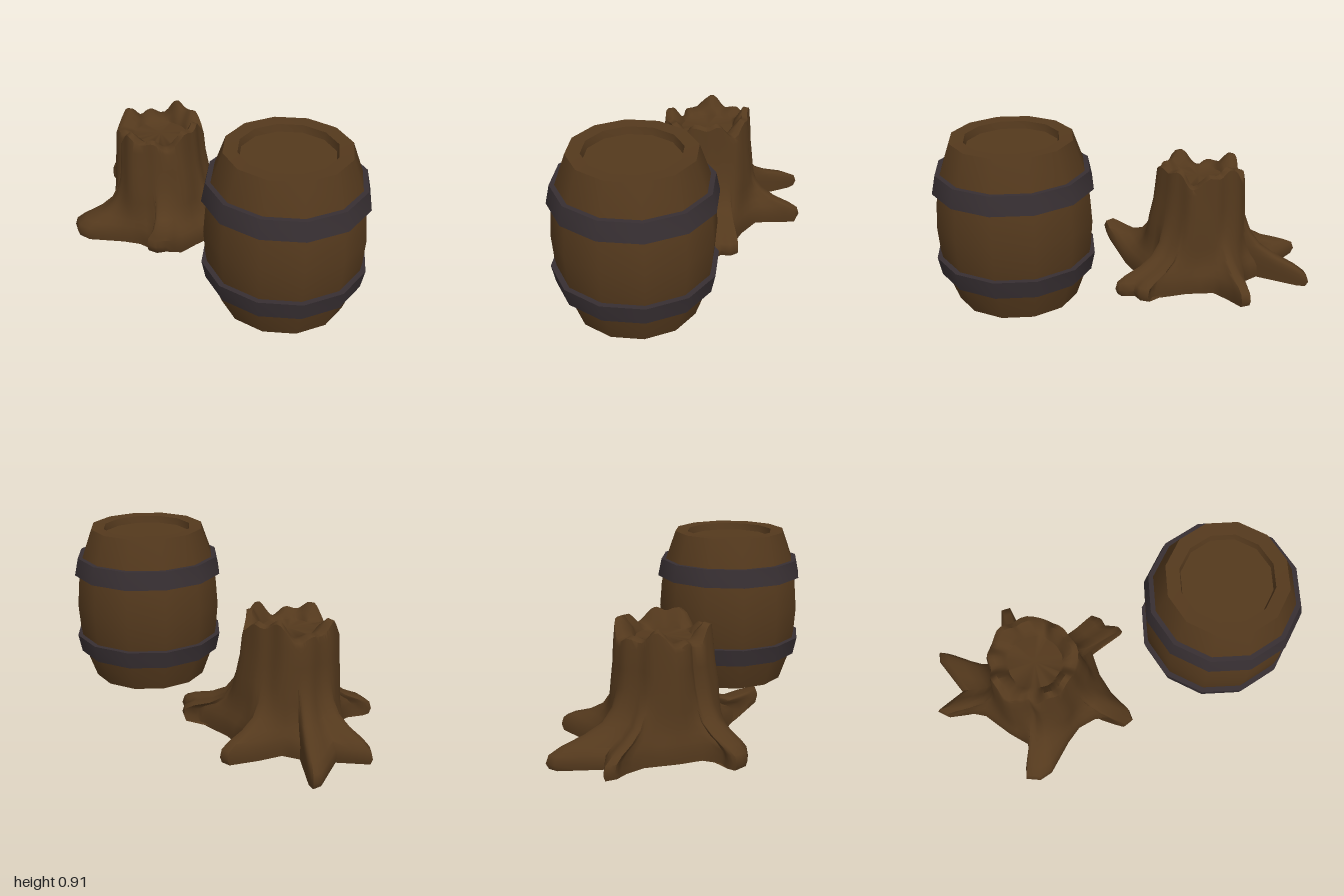
import * as THREE from 'three';
import { toCreasedNormals } from 'three/addons/utils/BufferGeometryUtils.js';

const wood = new THREE.MeshStandardMaterial({ color: 0x54391d });
wood.name = 'brown wood';
const iron = new THREE.MeshStandardMaterial({ color: 0x372f32 });
iron.name = 'dark iron';

function add(group, name, geometry, material) {
  const mesh = new THREE.Mesh(geometry, material);
  mesh.name = name;
  group.add(mesh);
  return mesh;
}

// Twelve-sided turned part; profile runs bottom to top as [radius, y]
function turned(profile, crease) {
  const g = new THREE.LatheGeometry(profile.map(([r, y]) => new THREE.Vector2(r, y)), 12);
  return toCreasedNormals(g, crease);
}

function makeBarrel() {
  const barrel = new THREE.Group();
  barrel.name = 'barrel';
  const mid = 0.493;
  // Upper half of the body, from the belly over the rim to the sunken lid
  const half = [[0.4, 0], [0.39, 0.13], [0.365, 0.27], [0.31, 0.425],
    [0.24, 0.422], [0.232, 0.385], [0, 0.385]];
  const lower = half.slice(1).reverse().map(([r, y]) => [r, mid - y]);
  const upper = half.map(([r, y]) => [r, mid + y]);
  add(barrel, 'barrelBody', turned([...lower, ...upper], 0.75), wood);
  // Iron hoops, wider toward the belly
  for (const s of [-1, 1]) {
    const hoop = [[0.36, 0.175], [0.41, 0.175], [0.39, 0.27], [0.35, 0.27]]
      .map(([r, y]) => [r, mid + s * y]);
    if (s < 0) hoop.reverse();
    add(barrel, s < 0 ? 'lowerHoop' : 'upperHoop', turned(hoop, 0.7), iron);
  }
  barrel.position.set(0.59, 0, 0.03);
  return barrel;
}

// Root outline seen from above: [x, z, lift off the ground]
const roots = [
  [-0.08, 0.05], [-0.05, 0.18, 0.02], [0, 0.32, 0.12], [0, 0.38, 0.14], [-0.05, 0.4, 0.14],
  [-0.09, 0.36, 0.1], [-0.11, 0.29, 0.03], [-0.18, 0.27], [-0.28, 0.29], [-0.36, 0.35], [-0.44, 0.43],
  [-0.5, 0.49], [-0.57, 0.51], [-0.64, 0.48], [-0.63, 0.44], [-0.58, 0.39], [-0.58, 0.29], [-0.66, 0.2],
  [-0.76, 0.06], [-0.87, 0], [-0.96, 0.01, 0.02], [-1, -0.03, 0.02], [-0.84, -0.1], [-0.92, -0.32, -0.01],
  [-0.91, -0.37, -0.01], [-0.87, -0.35, -0.01], [-0.69, -0.19], [-0.6, -0.22], [-0.55, -0.34],
  [-0.5, -0.5, 0.02], [-0.45, -0.5, 0.02], [-0.43, -0.37], [-0.39, -0.28], [-0.25, -0.24],
  [-0.1, -0.23], [-0.05, -0.24, 0.02], [-0.01, -0.3, 0.03], [0.03, -0.27, 0.03], [0.04, -0.22, 0.03],
  [0.11, -0.19, 0.03], [0.12, -0.16, 0.03], [0, -0.13, 0.02], [-0.08, -0.1],
];

function makeStump() {
  const cx = -0.42, cz = 0.03;
  // Add a midpoint between neighbouring outline points
  const outline = roots.flatMap((p, i) => {
    const q = roots[(i + 1) % roots.length];
    const lift = p[2] ?? 0;
    return [[p[0], p[1], lift], [(p[0] + q[0]) / 2, (p[1] + q[1]) / 2, (lift + (q[2] ?? 0)) / 2]];
  });
  const n = outline.length;
  const columns = outline.map(([x, z, lift], i) => {
    const even = (i / n) * Math.PI * 2;
    let a = Math.atan2(z - cz, x - cx);
    while (a < even - Math.PI) a += Math.PI * 2;
    a = (a + even) / 2;
    // Folds in the bark, with one deep cleft at the front
    const fold = 1 + 0.04 * Math.sin(5 * a + 1) + 0.02 * Math.sin(11 * a)
      - 0.13 * Math.exp(-(((a - 1.95) / 0.12) ** 2));
    const jag = 0.03 * Math.sin(4 * a + 2.6) + 0.02 * Math.sin(9 * a + 1) + 0.02 * Math.sin(a + 2.6);
    return { x, z, lift, a, fold, jag };
  });
  const trunk = (r, y, jagged = 0, folded = 1, lean = 0) => ({ a, fold, jag }) => {
    const k = r * (1 + (fold - 1) * folded);
    return [cx - lean + Math.cos(a) * k, y + jag * jagged, cz + Math.sin(a) * k];
  };
  const flare = (t, y) => (c) => {
    const [x, , z] = trunk(0.255, 0)(c);
    return [x + (c.x - x) * t, y + c.lift * t * t, z + (c.z - z) * t];
  };
  // Rings from the sunken top, over the broken rim, down the trunk, along the roots and underneath
  const rings = [
    trunk(0, 0.57), trunk(0.14, 0.565, 0, 0.5), trunk(0.155, 0.59, 0.4, 0.5), trunk(0.195, 0.62, 1, 1, 0.01),
    trunk(0.226, 0.61, 1, 1, 0.012), trunk(0.234, 0.55, 0, 1, 0.012), trunk(0.241, 0.45, 0, 1, 0.008),
    trunk(0.255, 0.35),
    flare(0.1, 0.26), flare(0.25, 0.195), flare(0.5, 0.15), flare(0.8, 0.115), flare(0.96, 0.085),
    flare(1, 0.045), flare(0.96, 0.015), flare(0.6, 0.018), trunk(0.2, 0.027, 0, 0), trunk(0, 0.03),
  ];
  const positions = rings.flatMap((ring) => columns.flatMap((c) => ring(c)));
  const index = [];
  for (let i = 0; i < rings.length - 1; i++) {
    for (let j = 0; j < n; j++) {
      const k = (j + 1) % n;
      const a = i * n + j, b = i * n + k, c = a + n, d = b + n;
      // The first and last rings are points, so they need only one triangle per column
      if (i > 0) index.push(a, b, c);
      if (i < rings.length - 2) index.push(b, d, c);
    }
  }
  const geometry = new THREE.BufferGeometry();
  geometry.setAttribute('position', new THREE.Float32BufferAttribute(positions, 3));
  geometry.setIndex(index);
  const stump = new THREE.Group();
  stump.name = 'treeStump';
  add(stump, 'trunkAndRoots', toCreasedNormals(geometry, 1), wood);
  // Dark patch under the stump
  const hollow = add(stump, 'hollow', new THREE.CircleGeometry(0.07, 8), iron);
  hollow.rotation.x = Math.PI / 2;
  hollow.position.set(cx, 0.024, cz);
  return stump;
}

export function createModel() {
  const model = new THREE.Group();
  model.name = 'barrelAndStump';
  model.add(makeBarrel(), makeStump());
  return model;
}
